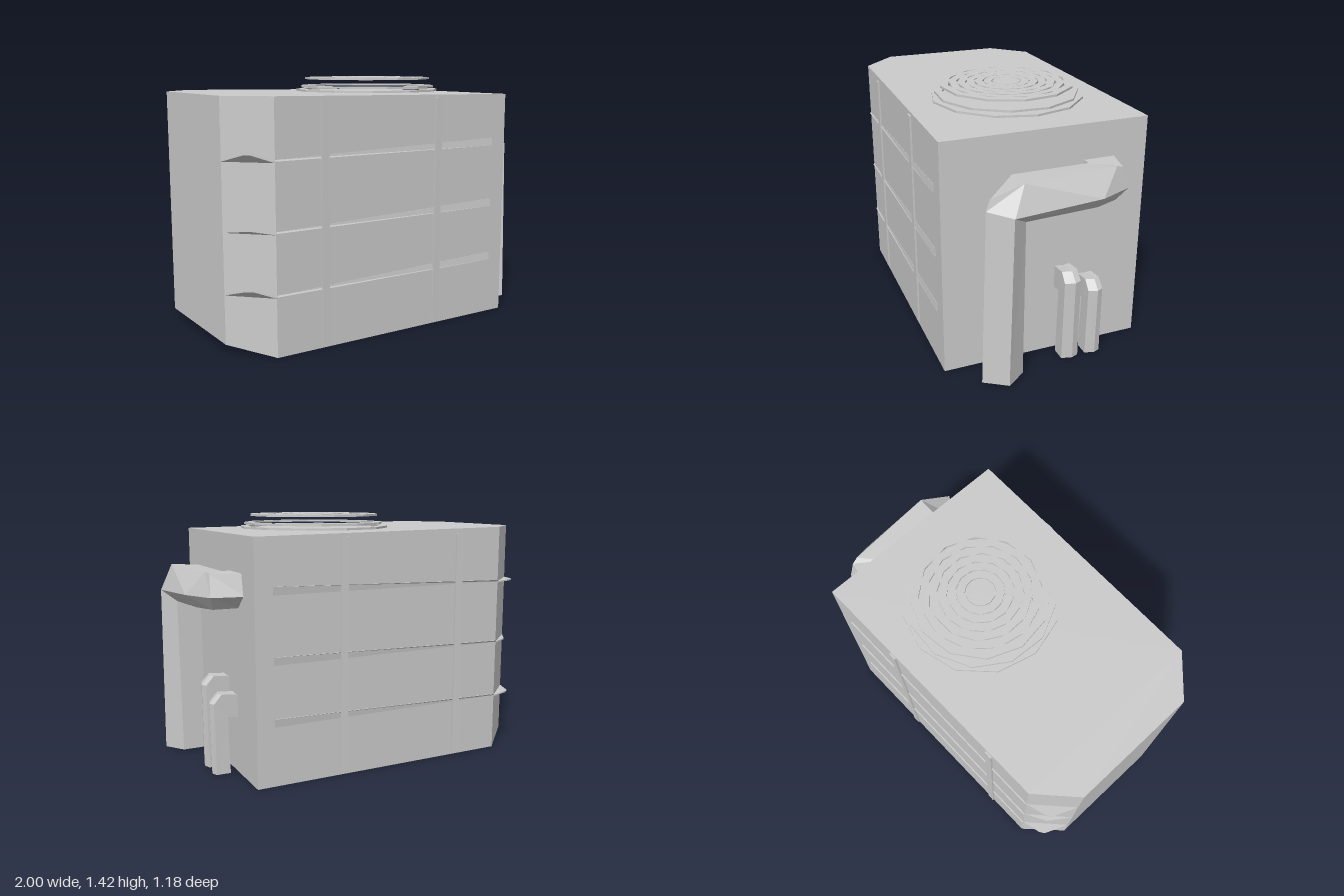
import * as THREE from 'three';

const mat = new THREE.MeshStandardMaterial({ color: 0xcccccc, flatShading: true, side: THREE.DoubleSide });

// Joins a list of cross-section loops (arrays of [x, y, z]) and caps both ends.
function loft(loops) {
  const n = loops[0].length, last = (loops.length - 1) * n, index = [];
  for (let k = 0; k < loops.length - 1; k++) {
    for (let i = 0; i < n; i++) {
      const a = k * n + i, b = k * n + (i + 1) % n;
      index.push(a, b, b + n, a, b + n, a + n);
    }
  }
  for (let i = 1; i < n - 1; i++) index.push(0, i + 1, i, last, last + i, last + i + 1);
  const g = new THREE.BufferGeometry();
  g.setAttribute('position', new THREE.Float32BufferAttribute(loops.flat(2), 3));
  g.setIndex(index);
  const flat = g.toNonIndexed();
  flat.computeVertexNormals();
  return flat;
}

function add(parent, name, geometry, x = 0, y = 0, z = 0) {
  const mesh = new THREE.Mesh(geometry, mat);
  mesh.name = name;
  mesh.position.set(x, y, z);
  parent.add(mesh);
  return mesh;
}

// Depth of the front (side 1) or back (side -1) wall at a given x.
const wallZ = (x, side) => side > 0
  ? 0.57 + (x + 0.8) * 0.01
  : -0.55 - (x + 0.8) * 0.02;

export function createModel() {
  const model = new THREE.Group();
  model.name = 'airConditioner';

  // Cabinet with two chamfered corners and a raised lower end
  const plan = [[-0.8, 0.57], [0.74, 0.585], [0.74, -0.58], [-0.8, -0.55], [-1, -0.36], [-1, 0.37]];
  add(model, 'cabinet', loft([
    plan.map(([x, z]) => [x, x < -0.9 ? 0.05 : 0, z]),
    plan.map(([x, z]) => [x, x > 0 ? 1.32 : 1.34, z]),
  ]));

  // Fan guard: stepped flat rings around a small hub
  const guard = new THREE.Group();
  guard.name = 'fanGuard';
  guard.position.set(0.15, 0, -0.01);
  model.add(guard);
  const rings = [[0.435, 1.34], [0.41, 1.362], [0.38, 1.41], [0.33, 1.41],
    [0.28, 1.412], [0.23, 1.412], [0.18, 1.414], [0.13, 1.414]];
  rings.forEach(([r, y], i) => {
    const w = 0.045, h = 0.006;
    const profile = [[r - w, -h], [r, -h], [r, h], [r - w, h], [r - w, -h]]
      .map(([px, py]) => new THREE.Vector2(px, py));
    add(guard, 'guardRing', new THREE.LatheGeometry(profile, 12), 0, y, 0).rotation.y = i * 0.2;
  });
  add(guard, 'guardHub', new THREE.CylinderGeometry(0.08, 0.08, 0.012, 12), 0, 1.414, 0);

  // Ribs, slats and corner fins on the front and back walls
  for (const side of [1, -1]) {
    for (const x of [-0.513, 0.23]) {
      add(model, 'verticalRib', new THREE.BoxGeometry(0.045, 1.285, 0.02), x, 0.667, wallZ(x, side));
    }
    for (const [y, size] of [[1.02, 1], [0.655, 0.4], [0.325, 1]]) {
      // Tapering slat, its lower edge standing out at the front and its upper edge at the back
      const section = (x, h) => {
        const z = wallZ(x, side), out = z + side * 0.007, flush = z + side * 0.001;
        const inner = z - side * 0.01;
        const pts = [[x, y, inner], [x, y, side > 0 ? out : flush],
          [x, y + h, side > 0 ? flush : out], [x, y + h, inner]];
        return side > 0 ? pts.reverse() : pts;
      };
      add(model, 'slat', loft([section(-0.8, 0.008), section(0.64, 0.045)]));

      // Fin bulging from the chamfered corner
      const a = [-0.8, y, wallZ(-0.8, side)];
      const b = [-1, y, side > 0 ? 0.37 : -0.36];
      const lift = side > 0 ? 0.04 : 0.005;
      const bulge = (x, z) => [
        THREE.MathUtils.lerp(-0.9, x, size), y + lift * size,
        side * THREE.MathUtils.lerp(0.47, z, size)];
      const tip1 = bulge(-0.94, 0.5), tip2 = bulge(-0.91, 0.52);
      const low = (p) => [p[0], p[1] - 0.008, p[2]];
      const fin = [a, tip2, tip1, b];
      if (side > 0) fin.reverse();
      add(model, 'cornerFin', loft([fin.map(low), fin]));
    }
  }

  // Large faceted pipe: rises, bends to the back, then turns into the cabinet
  add(model, 'mainPipe', loft([
    [[0.92, 0.01, 0.435], [1, 0.01, 0.31], [0.92, 0.01, 0.2], [0.78, 0.01, 0.2], [0.76, 0.01, 0.34]],
    [[0.92, 1, 0.41], [1, 0.975, 0.29], [0.93, 0.915, 0.2], [0.79, 0.915, 0.2], [0.79, 1, 0.34]],
    [[0.95, 1.13, 0.22], [1, 0.975, 0.288], [0.93, 0.915, 0.199], [0.79, 0.92, 0.199], [0.79, 1.12, 0.22]],
    [[0.91, 1.13, -0.31], [0.99, 1, -0.2], [0.93, 0.93, -0.2], [0.8, 0.94, -0.19], [0.79, 1.12, -0.2]],
    [[0.9, 1.12, -0.35], [0.91, 1, -0.385], [0.88, 0.93, -0.33], [0.79, 0.94, -0.2], [0.785, 1.12, -0.21]],
    [[0.73, 1.12, -0.39], [0.73, 1, -0.415], [0.73, 0.93, -0.33], [0.73, 0.94, -0.2], [0.73, 1.12, -0.21]],
  ]));

  // Two small pipes, each rising and bending into the cabinet
  for (const [z, top, w] of [[-0.105, 0.53, 0.05], [-0.245, 0.455, 0.045]]) {
    const loop = (xo, xi, yo, yi, s) => [
      [xi, yi, z + s], [xo, yo, z + s], [xo + 0.015, yo, z - s * 0.2], [xo, yo, z - s], [xi, yi, z - s]];
    add(model, 'smallPipe', loft([
      loop(0.87, 0.79, 0.005, 0.005, w),
      loop(0.875, 0.8, top - 0.05, top - 0.13, w * 0.95),
      loop(0.83, 0.795, top, top - 0.13, w * 0.9),
      loop(0.73, 0.73, top - 0.01, top - 0.14, w * 0.9),
    ]));
  }

  return model;
}
